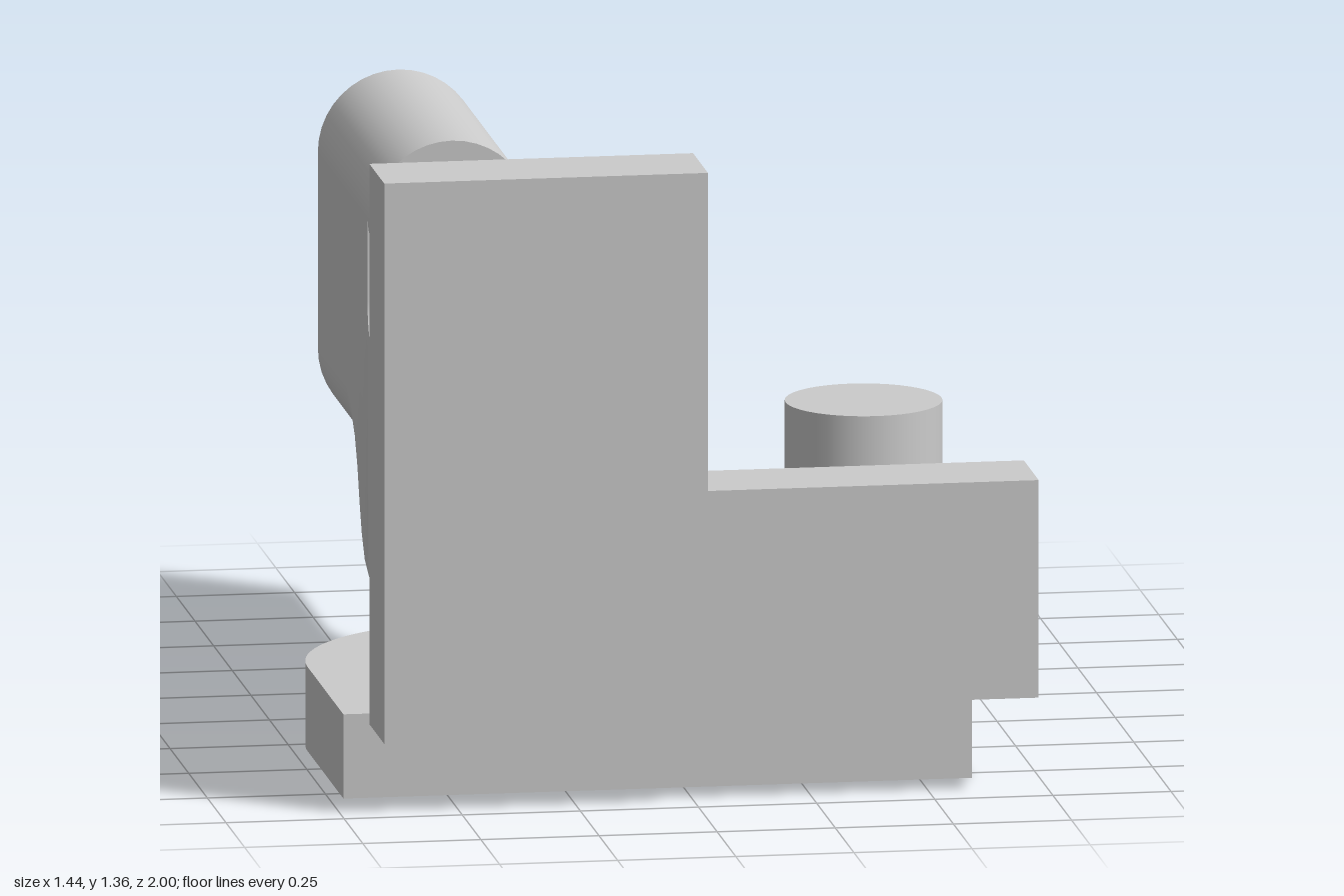
import * as THREE from 'three';
import { toCreasedNormals } from 'three/addons/utils/BufferGeometryUtils.js';

const ARM_X = -0.32;
const grey = new THREE.MeshStandardMaterial({ color: 0xcccccc });

function part(group, name, geometry, x = 0, y = 0, z = 0) {
  const mesh = new THREE.Mesh(geometry, grey);
  mesh.name = name;
  mesh.position.set(x, y, z);
  group.add(mesh);
  return mesh;
}

// Piecewise linear lookup; rows are [z, value], z falling.
function lookup(rows, z) {
  for (let i = 1; i < rows.length; i++) {
    const [z0, v0] = rows[i - 1], [z1, v1] = rows[i];
    if (z >= z1) return v0 + (v1 - v0) * Math.min(1, (z0 - z) / (z0 - z1));
  }
  return rows[rows.length - 1][1];
}

// Skin through rings ordered front to back, counter-clockwise seen from the front.
function loft(rings) {
  const pos = [], n = rings[0].length;
  const tri = (...pts) => pts.forEach(p => pos.push(p.x, p.y, p.z));
  const centre = ring => ring.reduce((s, p) => s.add(p), new THREE.Vector3()).divideScalar(n);
  const first = rings[0], last = rings[rings.length - 1];
  const c0 = centre(first), c1 = centre(last);
  for (let j = 0; j < n; j++) {
    const k = (j + 1) % n;
    for (let i = 0; i + 1 < rings.length; i++) {
      const a = rings[i][j], b = rings[i][k], c = rings[i + 1][k], d = rings[i + 1][j];
      tri(a, d, c);
      tri(a, c, b);
    }
    tri(c0, first[j], first[k]);
    tri(c1, last[k], last[j]);
  }
  const g = new THREE.BufferGeometry();
  g.setAttribute('position', new THREE.Float32BufferAttribute(pos, 3));
  return toCreasedNormals(g, 0.55);
}

// Flat plate lying on the ground plane; outline is in (x, -z).
function slab(shape, height) {
  const g = new THREE.ExtrudeGeometry(shape, { depth: height, bevelEnabled: false, curveSegments: 20 });
  return toCreasedNormals(g.rotateX(-Math.PI / 2), 0.4);
}

const polygon = pts => new THREE.Shape(pts.map(p => new THREE.Vector2(...p)));

// Half width of the arm: flares and fillets into the front plate.
const halfWidth = [[0.8, 0.295], [0.795, 0.277], [0.785, 0.262], [0.77, 0.253], [0.12, 0.17], [-1, 0.17]];
// Underside height, and how deep its rounding is.
const underside = [[0.8, 0.21], [-0.31, 0.21], [-0.37, 0.225], [-0.41, 0.257], [-0.44, 0.297],
  [-0.47, 0.345], [-0.51, 0.382], [-0.56, 0.4], [-0.62, 0.405], [-1, 0.405]];
const rounding = [[0.8, 0], [0.1, 0], [-0.31, 0.02], [-0.37, 0.03], [-0.41, 0.045], [-0.44, 0.065],
  [-0.47, 0.09], [-0.51, 0.12], [-0.56, 0.15], [-0.62, 0.17], [-1, 0.17]];

function armGeometry() {
  // Stations [z, top height]; two at one z make an upright wall.
  const AXIS = 0.995;
  const stations = [0.8, 0.795, 0.785, 0.77, 0.39].map(z => [z, AXIS]);
  stations.push([0.39, 0.7], [0.12, 0.7], [0.1, 0.7], [-0.1, 0.7]);
  for (let i = 0; i <= 8; i++) {
    const a = (i / 8) * Math.PI / 2;
    stations.push([-0.22 - 0.115 * Math.sin(a), 0.815 - 0.115 * Math.cos(a)]);
  }
  stations.push([-0.335, AXIS]);
  for (const [z] of underside) if (z < -0.335) stations.push([z, AXIS]);
  return loft(stations.map(([z, top]) => {
    const w = lookup(halfWidth, z), d = lookup(rounding, z), y = lookup(underside, z);
    const ring = [];
    for (let j = 0; j <= 20; j++) {
      const a = Math.PI * (1 + j / 20);
      ring.push(new THREE.Vector3(w * Math.cos(a), y + d + d * Math.sin(a), z));
    }
    ring.push(new THREE.Vector3(w, top, z), new THREE.Vector3(-w, top, z));
    return ring;
  }));
}

// Tapered nose growing out of the front plate.
function noseGeometry() {
  const halfHeight = [[0.8, 0.345], [0.795, 0.327], [0.785, 0.31], [0.77, 0.3], [0.27, 0.187]];
  return loft([0.8, 0.795, 0.785, 0.77, 0.39, 0.27].map(z => {
    const w = lookup(halfWidth, z), h = lookup(halfHeight, z);
    return Array.from({ length: 40 }, (_, j) => {
      const a = (j / 40) * Math.PI * 2;
      return new THREE.Vector3(w * Math.cos(a), h * Math.sin(a), z);
    });
  }));
}

export function createModel() {
  const model = new THREE.Group();
  model.name = 'clampBracket';

  // Base: two tangent rounded corners joined by a slanted edge
  const base = new THREE.Shape();
  base.moveTo(-0.72, -0.8);
  base.lineTo(0.61, -0.8);
  base.lineTo(0.61, -0.52);
  base.absarc(0.42, -0.52, 0.19, 0, 1.029, false);
  base.absarc(-0.32, -0.32, 0.4, 1.029, Math.PI, false);
  base.closePath();
  part(model, 'basePlate', slab(base, 0.18));

  // L-shaped front plate
  const plate = polygon([[-0.665, 0.157], [0.02, 0.157], [0.02, 0.21], [0.72, 0.21],
    [0.72, 0.675], [0.02, 0.675], [0.02, 1.355], [-0.665, 1.355]]);
  part(model, 'frontPlate', new THREE.ExtrudeGeometry(plate, { depth: 0.2, bevelEnabled: false }), 0, 0, 0.8);

  // Pin and the two clips that hold it to the plate
  part(model, 'pin', new THREE.CylinderGeometry(0.165, 0.165, 0.577, 40), 0.425, 0.4665, 0.52);
  const clip = polygon([[0.055, -0.8], [0.075, -0.73], [0.24, -0.73], [0.31, -0.635],
    [0.54, -0.635], [0.605, -0.73], [0.68, -0.73], [0.7, -0.8]]);
  for (const [name, y] of [['lowerClip', 0.278], ['upperClip', 0.56]]) part(model, name, slab(clip, 0.063), 0, y, 0);

  // Arm, nose and rear jaw
  part(model, 'arm', armGeometry(), ARM_X);
  part(model, 'nose', noseGeometry(), ARM_X, 0.995, 0);
  const jaw = new THREE.CylinderGeometry(0.17, 0.17, 0.72, 40).rotateX(Math.PI / 2);
  part(model, 'rearJaw', jaw, ARM_X, 0.995, -0.64);

  return model;
}
